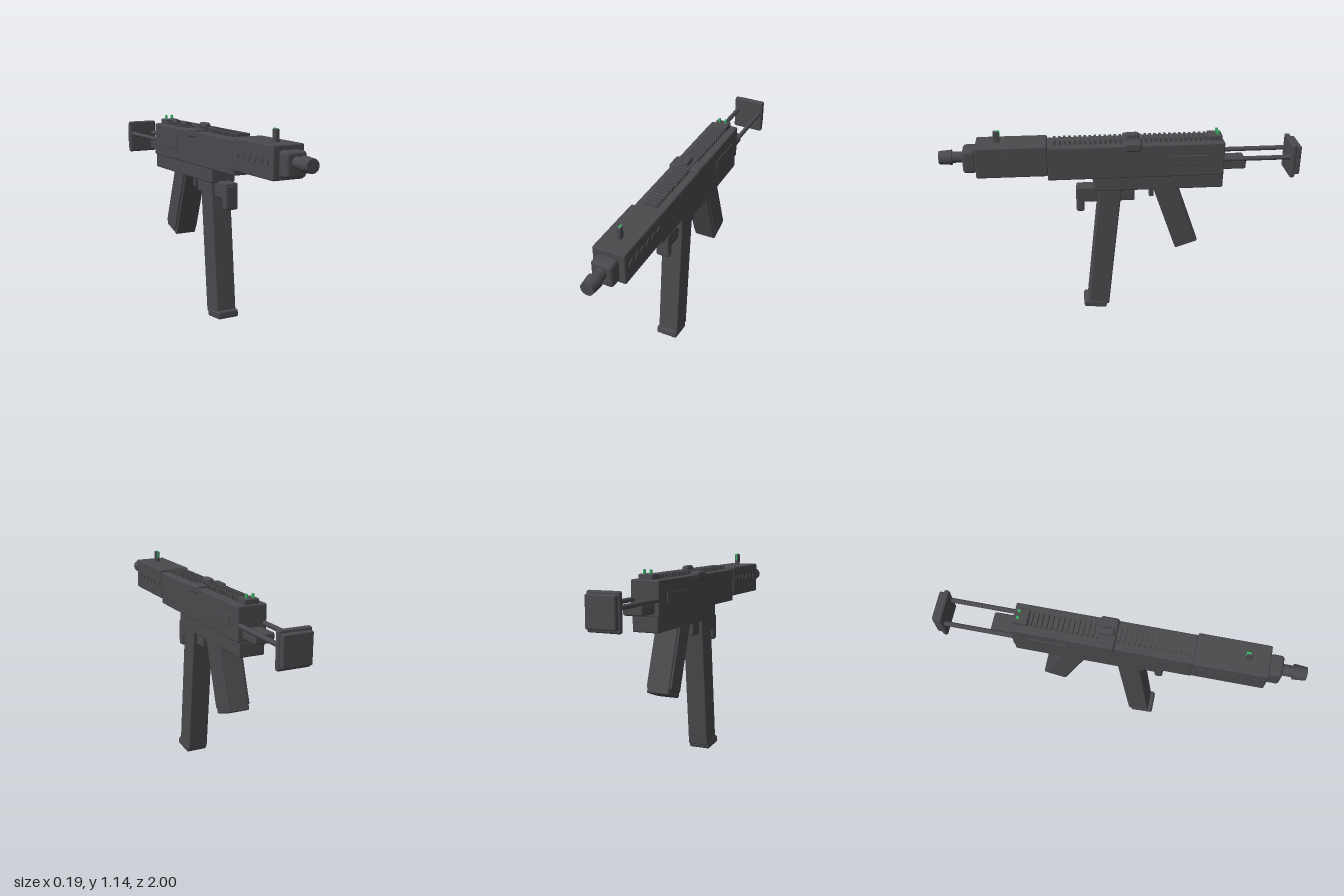
import * as THREE from 'three';
import { RoundedBoxGeometry } from 'three/addons/geometries/RoundedBoxGeometry.js';

export function createModel() {
  const root = new THREE.Group();
  const gunmetal = new THREE.MeshStandardMaterial({ color: 0x4a494d });
  gunmetal.name = 'gunmetal';
  const green = new THREE.MeshStandardMaterial({ color: 0x3cb368 });
  green.name = 'sightGreen';

  function add(name, geometry, material = gunmetal, parent = root) {
    const mesh = new THREE.Mesh(geometry, material);
    mesh.name = name;
    parent.add(mesh);
    return mesh;
  }

  // Bevelled block given by half width and its y and z ranges
  function block(name, halfX, [y0, y1], [z0, z1], bevel = 0.008, x = 0, material = gunmetal) {
    const mesh = add(name, new RoundedBoxGeometry(halfX * 2, y1 - y0, z1 - z0, 2, bevel), material);
    mesh.position.set(x, (y0 + y1) / 2, (z0 + z1) / 2);
    return mesh;
  }

  // Bevelled block leaning in the side plane
  function leaning(name, w, h, d, y, z, angle, bevel = 0.008, x = 0) {
    const mesh = add(name, new RoundedBoxGeometry(w, h, d, 2, bevel));
    mesh.position.set(x, y, z);
    mesh.rotation.x = angle;
    return mesh;
  }

  // Cylinder along z
  function rod(name, rFront, rBack, z0, z1, x, y, sides = 24) {
    const mesh = add(name, new THREE.CylinderGeometry(rFront, rBack, z1 - z0, sides));
    mesh.rotation.x = Math.PI / 2;
    mesh.position.set(x, y, (z0 + z1) / 2);
    return mesh;
  }

  // Main housing
  block('receiver', 0.083, [0.87, 1.062], [-0.567, 0.412]);
  block('lowerReceiver', 0.075, [0.79, 0.875], [-0.567, 0.16]);
  block('handguard', 0.09, [0.9, 1.075], [0.41, 0.8]);

  // Barrel
  block('barrelCollar', 0.06, [0.918, 1.05], [0.795, 0.872], 0.018);
  rod('barrel', 0.031, 0.031, 0.86, 0.94, 0, 0.995);
  rod('muzzle', 0.036, 0.042, 0.93, 1.0, 0, 0.995);

  // Side details on both sides
  for (const s of [-1, 1]) {
    for (let i = 0; i < 6; i++) {
      const vent = add('handguardVent', new THREE.CylinderGeometry(0.024, 0.024, 0.008, 20));
      vent.rotation.z = Math.PI / 2;
      vent.position.set(s * 0.0905, 0.995, 0.455 + i * 0.057);
    }
    block('sidePlate', 0.004, [0.935, 0.995], [-0.48, -0.26], 0.003, s * 0.084);
    rod('stockRod', 0.013, 0.013, -0.96, -0.55, s * 0.07, 0.96, 16);
  }

  // Top rail
  const rib = new THREE.BoxGeometry(0.08, 0.026, 0.014);
  for (let i = 0; i < 31; i++) {
    add('railRib', rib).position.set(0, 1.072, 0.368 - i * 0.0278);
  }

  // Cocking clamp across the receiver
  block('clamp', 0.09, [1.025, 1.078], [-0.108, -0.008], 0.014);
  block('clampKnob', 0.02, [1.06, 1.108], [-0.097, -0.019], 0.014);

  // Sights
  block('frontSight', 0.012, [1.06, 1.14], [0.667, 0.7], 0.006);
  block('frontSightDot', 0.006, [1.1, 1.143], [0.664, 0.69], 0.003, 0, green);
  block('rearSight', 0.043, [1.05, 1.09], [-0.558, -0.48], 0.006);
  for (const s of [-1, 1]) {
    block('rearSightPost', 0.005, [1.08, 1.113], [-0.541, -0.525], 0.002, s * 0.019, green);
  }

  // Stock
  block('stockBlock', 0.056, [0.89, 0.945], [-0.697, -0.55], 0.01);
  block('buttPlate', 0.092, [0.84, 1.04], [-0.972, -0.942], 0.011);
  block('buttPad', 0.084, [0.857, 1.025], [-1.0, -0.968], 0.009);

  // Magazine and base plate
  leaning('magazine', 0.123, 0.83, 0.125, 0.445, 0.1, -0.1);
  leaning('magazineBase', 0.13, 0.045, 0.135, 0.031, 0.16, -0.1, 0.012);

  // Hook and block around the magazine well
  block('magazineWell', 0.04, [0.71, 0.8], [-0.073, 0.255], 0.008);
  block('frontHook', 0.04, [0.65, 0.79], [0.213, 0.258], 0.012);

  // Trigger
  block('trigger', 0.014, [0.717, 0.8], [-0.183, -0.158], 0.005);

  // Grip with side panels
  const tilt = 0.335;
  leaning('grip', 0.132, 0.44, 0.137, 0.63, -0.303, tilt);
  for (const s of [-1, 1]) {
    leaning('gripPanel', 0.018, 0.41, 0.115, 0.645, -0.3, tilt, 0.006, s * 0.067);
  }

  return root;
}
